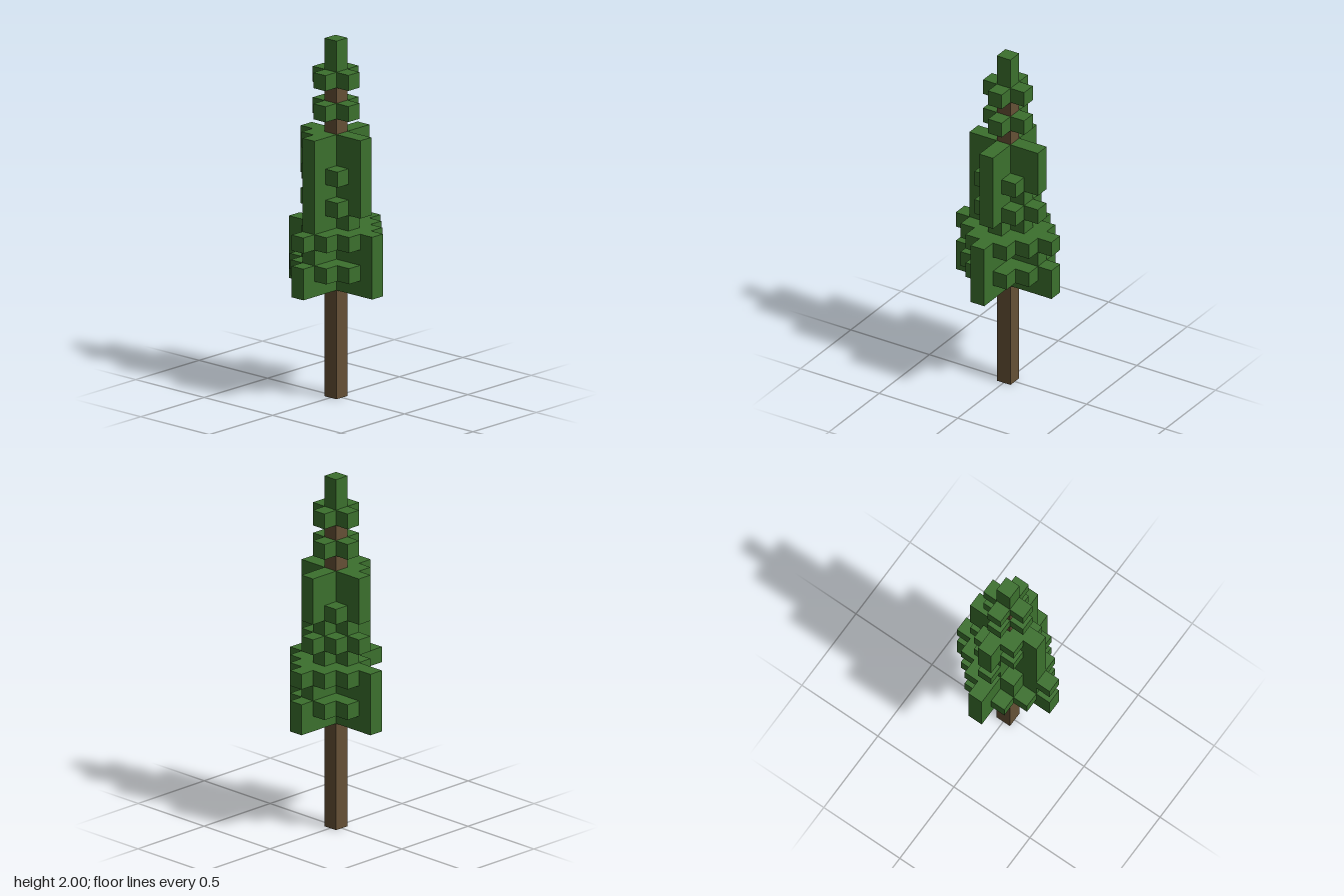
import * as THREE from 'three';

const U = 2 / 23; // one block; the tree is 23 blocks tall

export function createModel() {
  const leaf = new THREE.MeshStandardMaterial({ color: 0x3b702d });
  leaf.name = 'leaf green';
  const bark = new THREE.MeshStandardMaterial({ color: 0x655035 });
  bark.name = 'bark brown';

  const tree = new THREE.Group();
  tree.name = 'tree';

  // Box from block bounds: columns x0..x1, z0..z1 inclusive, layers y0 up to y1
  function block(parent, name, material, x0, x1, y0, y1, z0, z1) {
    const geo = new THREE.BoxGeometry((x1 - x0 + 1) * U, (y1 - y0) * U, (z1 - z0 + 1) * U);
    const mesh = new THREE.Mesh(geo, material);
    mesh.name = name;
    mesh.position.set((x0 + x1) / 2 * U, (y0 + y1) / 2 * U, (z0 + z1) / 2 * U);
    parent.add(mesh);
  }

  // Trunk and leafy tip
  block(tree, 'trunk', bark, 0, 0, 0, 21, 0, 0);
  block(tree, 'tip', leaf, 0, 0, 21, 23, 0, 0);

  // Four arms of foliage: runs of [first layer, end layer, length]
  const upper = [[18, 19, 1], [20, 21, 1]];
  const arms = [
    { name: 'leftArm', dx: 1, dz: 0, runs: [[7, 9, 3], [9, 10, 2], [10, 11, 3], [11, 12, 1], [12, 13, 2], [13, 14, 1], [14, 17, 2]] },
    { name: 'rightArm', dx: -1, dz: 0, runs: [[7, 9, 3], [9, 10, 2], [10, 11, 3], [11, 17, 2]] },
    { name: 'frontArm', dx: 0, dz: 1, runs: [[7, 11, 3], [11, 12, 1], [12, 17, 2]] },
    { name: 'backArm', dx: 0, dz: -1, runs: [[7, 11, 3], [11, 12, 1], [12, 13, 2], [13, 14, 1], [14, 17, 2]] },
  ];
  for (const { name, dx, dz, runs } of arms) {
    const arm = new THREE.Group();
    arm.name = name;
    for (const [y0, y1, n] of [...runs, ...upper]) {
      block(arm, 'branch', leaf,
        Math.min(dx, dx * n), Math.max(dx, dx * n), y0, y1,
        Math.min(dz, dz * n), Math.max(dz, dz * n));
    }
    tree.add(arm);
  }

  // Clumps filling the corners between the arms
  for (const sx of [1, -1]) {
    for (const sz of [1, -1]) {
      const corner = new THREE.Group();
      corner.name = 'cornerClumps';
      const clump = (x, z, y0, y1) => block(corner, 'clump', leaf, x * sx, x * sx, y0, y1, z * sz, z * sz);
      const wide = (y) => { clump(1, 1, y, y + 1); clump(1, 2, y, y + 1); clump(2, 1, y, y + 1); };
      wide(8);
      clump(1, 1, 14, 15);
      if (sx < 0 && sz < 0) {
        // The back right corner grows differently
        clump(1, 1, 9, 11);
        clump(1, 1, 16, 17);
      } else {
        wide(10);
        clump(1, 1, 12, 13);
      }
      tree.add(corner);
    }
  }
  return tree;
}
